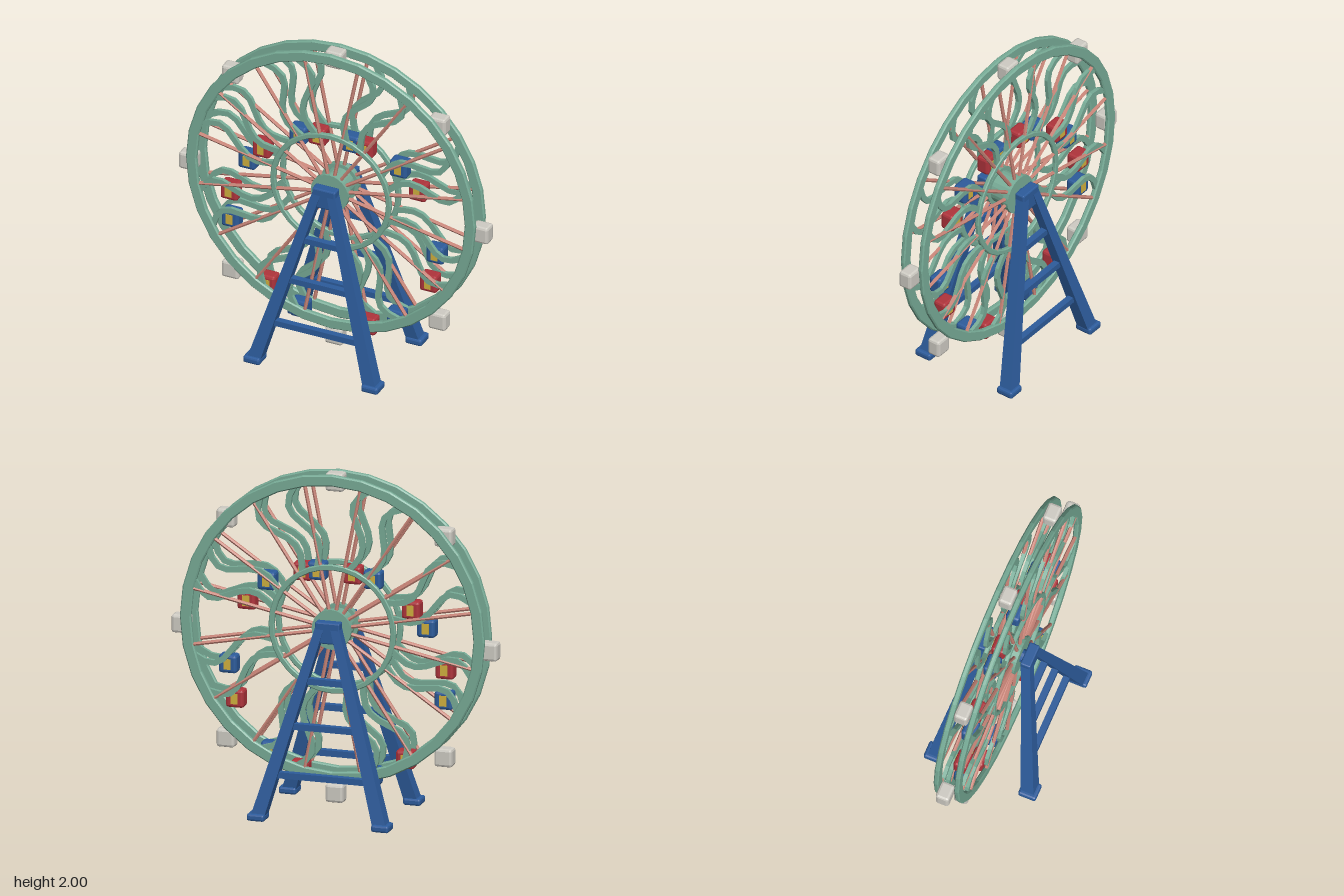
import * as THREE from 'three';
import { RoundedBoxGeometry } from 'three/addons/geometries/RoundedBoxGeometry.js';

const paint = (color) => new THREE.MeshStandardMaterial({ color, flatShading: true });

export function createModel() {
  const root = new THREE.Group();
  const green = paint(0x78ac97), blue = paint(0x2d5c9c), red = paint(0xb0343c);
  const yellow = paint(0xd2b23f), white = paint(0xcfccc4), salmon = paint(0xcc877a);
  const CY = 1.093; // wheel centre height
  const SIDE_Z = 0.063; // distance of each wheel face from the middle

  const add = (parent, name, geometry, material, x = 0, y = 0, z = 0) => {
    const mesh = new THREE.Mesh(geometry, material);
    mesh.name = name;
    mesh.position.set(x, y, z);
    parent.add(mesh);
    return mesh;
  };

  // Ring around the z axis with a chamfered cross-section
  const ringGeometry = (inner, outer, half, bevel) => {
    const profile = [
      [outer, -half + bevel], [outer, half - bevel], [outer - bevel, half], [inner + bevel, half],
      [inner, half - bevel], [inner, -half + bevel], [inner + bevel, -half], [outer - bevel, -half],
      [outer, -half + bevel],
    ].map(([r, y]) => new THREE.Vector2(r, y));
    return new THREE.LatheGeometry(profile, 32).rotateX(Math.PI / 2);
  };

  // Wavy sliding track running outward along +x
  const trackGeometry = () => {
    const steps = 9, r0 = 0.36, r1 = 0.86, half = 0.017;
    const points = [];
    for (let i = 0; i <= steps; i++) {
      const t = i / steps, r = r0 + (r1 - r0) * t;
      const a = 0.1 * Math.sin(t * Math.PI * 2);
      points.push(new THREE.Vector2(r * Math.cos(a), r * Math.sin(a)));
    }
    const edge = (sign) => points.map((p, i) => {
      const d = points[Math.min(i + 1, steps)].clone().sub(points[Math.max(i - 1, 0)]).normalize();
      return new THREE.Vector2(p.x - d.y * half * sign, p.y + d.x * half * sign);
    });
    const shape = new THREE.Shape([...edge(-1), ...edge(1).reverse()]);
    return new THREE.ExtrudeGeometry(shape, { depth: 0.022, bevelEnabled: false }).translate(0, 0, -0.011);
  };

  // Wheel: two matching faces with rims, spokes and tracks
  const wheel = new THREE.Group();
  wheel.name = 'wheel';
  wheel.position.y = CY;
  root.add(wheel);
  const rim = ringGeometry(0.842, 0.907, 0.015, 0.007);
  const innerRing = ringGeometry(0.347, 0.379, 0.013, 0.005);
  const spoke = new THREE.CylinderGeometry(0.011, 0.011, 0.8, 6).rotateZ(-Math.PI / 2).translate(0.46, 0, 0);
  const track = trackGeometry();
  for (const side of [1, -1]) {
    const face = new THREE.Group();
    face.name = side > 0 ? 'frontFace' : 'backFace';
    face.position.z = side * SIDE_Z;
    wheel.add(face);
    add(face, 'outerRim', rim, green);
    add(face, 'innerRing', innerRing, green);
    add(face, 'hubPlate', new THREE.CylinderGeometry(0.117, 0.117, 0.036, 24).rotateX(Math.PI / 2), green, 0, 0, side * 0.005);
    for (let i = 0; i < 16; i++) {
      add(face, 'spoke', spoke, salmon).rotation.z = (i + 0.5) * Math.PI / 8;
    }
    for (let i = 0; i < 24; i++) {
      if (i % 3 === 0) continue; // these places hold the fixed cabins
      add(face, 'slidingTrack', track, green, 0, 0, -side * 0.004).rotation.z = i * Math.PI / 12;
    }
  }
  add(wheel, 'hubCore', new THREE.CylinderGeometry(0.095, 0.095, 0.12, 24).rotateX(Math.PI / 2), green);
  add(wheel, 'axle', new THREE.CylinderGeometry(0.04, 0.04, 0.28, 12).rotateX(Math.PI / 2), blue);

  // Fixed cabins on the rim
  const cabin = new RoundedBoxGeometry(0.107, 0.107, 0.082, 1, 0.015);
  for (let i = 0; i < 8; i++) {
    const a = i * Math.PI / 4;
    add(root, 'fixedCabin', cabin, white, 0.917 * Math.cos(a), 1.03 + 0.917 * Math.sin(a), 0);
  }

  // Sliding cabins, each at its own spot along its track
  const windowPane = new THREE.BoxGeometry(0.042, 0.062, 0.088);
  const spots = [
    [-0.106, 1.41], [-0.225, 1.39], [-0.455, 1.235], [-0.545, 1.135],
    [-0.656, 0.9], [-0.65, 0.72], [-0.42, 0.35], [-0.217, 0.235],
    [0.207, 0.235], [0.385, 0.33], [0.593, 0.62], [0.635, 0.82],
    [0.524, 1.205], [0.405, 1.33], [0.19, 1.405], [0.106, 1.415],
  ];
  spots.forEach(([x, y], i) => {
    const car = new THREE.Group();
    car.name = 'slidingCabin';
    car.position.set(x, y, 0);
    root.add(car);
    add(car, 'cabinBody', cabin, i % 2 ? blue : red);
    add(car, 'cabinWindow', windowPane, yellow);
  });

  // Support towers: tapered leaning legs, feet, crossbars and bearing block
  const foot = { x: 0.37, y: 0, z: 0.29 }, top = { x: 0.04, y: 1.14, z: 0.135 };
  const legPoint = (y) => {
    const t = y / top.y;
    return { x: foot.x + (top.x - foot.x) * t, z: foot.z + (top.z - foot.z) * t };
  };
  const legGeometry = (sx, sz) => {
    const g = new THREE.BoxGeometry(1, 1, 1);
    const p = g.attributes.position;
    for (let i = 0; i < p.count; i++) {
      const t = p.getY(i) + 0.5, c = legPoint(t * top.y);
      p.setXYZ(i, sx * c.x + p.getX(i) * (0.082 - 0.03 * t), t * top.y, sz * c.z + p.getZ(i) * (0.08 - 0.026 * t));
    }
    g.computeVertexNormals();
    return g;
  };
  for (const sz of [1, -1]) {
    const tower = new THREE.Group();
    tower.name = sz > 0 ? 'frontTower' : 'backTower';
    root.add(tower);
    for (const sx of [1, -1]) {
      add(tower, 'leg', legGeometry(sx, sz), blue);
      add(tower, 'foot', new RoundedBoxGeometry(0.104, 0.042, 0.108, 1, 0.012), blue, sx * foot.x, 0.021, sz * foot.z);
    }
    for (const y of [0.265, 0.547, 0.81]) {
      const p = legPoint(y);
      add(tower, 'crossbar', new THREE.BoxGeometry(p.x * 2, 0.036, 0.038), blue, 0, y, sz * p.z);
    }
    add(tower, 'bearingBlock', new RoundedBoxGeometry(0.146, 0.126, 0.062, 1, 0.008), blue, 0, 1.092, sz * 0.135);
  }
  return root;
}
